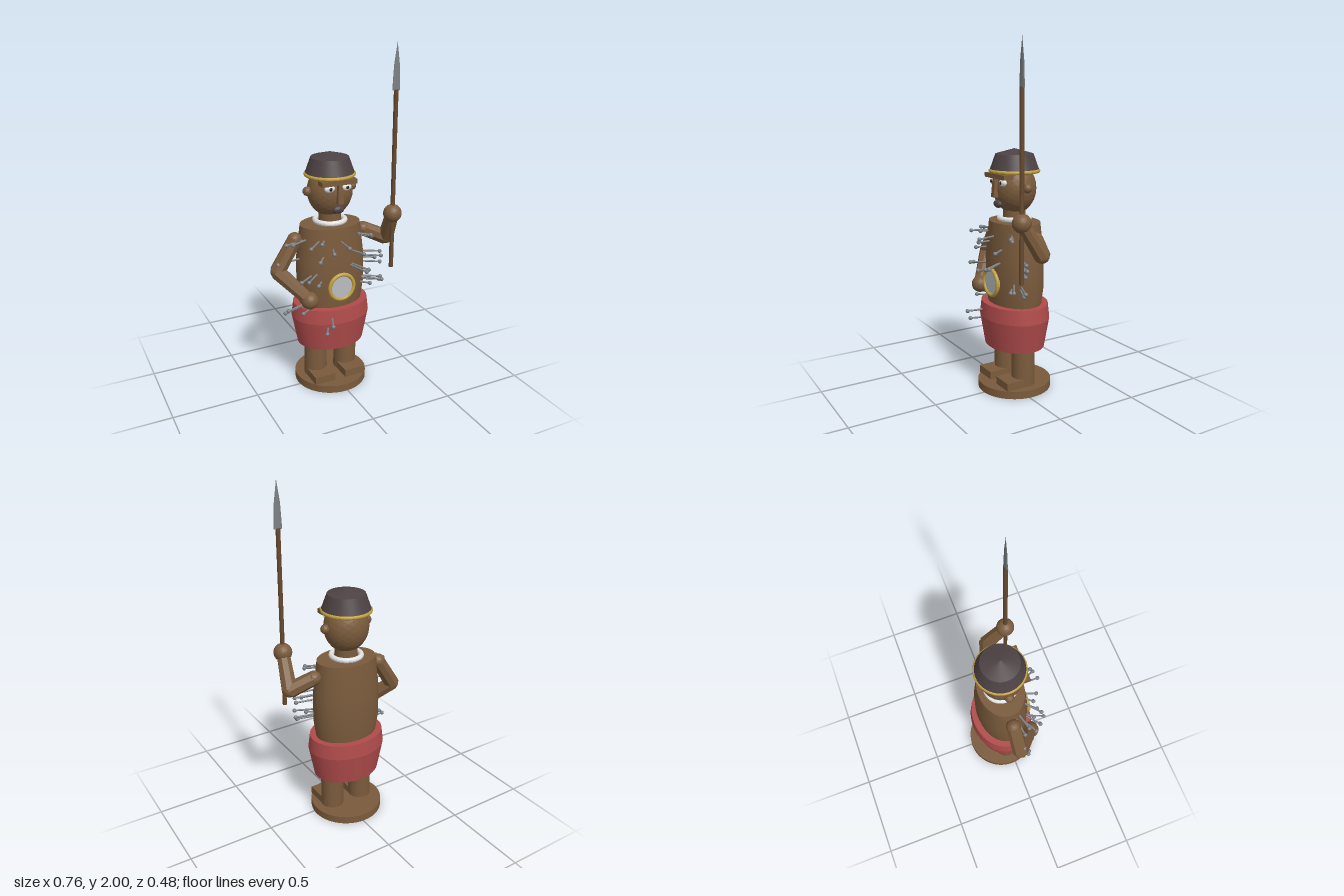
import * as THREE from 'three';
import { toCreasedNormals } from 'three/addons/utils/BufferGeometryUtils.js';

const CX = -0.013, CZ = -0.026; // axis of the figure

function mat(name, color) {
  const m = new THREE.MeshStandardMaterial({ color });
  m.name = name;
  return m;
}

export function createModel() {
  const root = new THREE.Group();
  const wood = mat('wood', 0x7a5b3c);
  const darkWood = mat('shaft wood', 0x66492e);
  const red = mat('red cloth', 0xb04b4b);
  const dark = mat('dark hat', 0x4d4243);
  const gold = mat('gold', 0xbf9f40);
  const white = mat('white', 0xdfe1e3);
  const glass = mat('mirror', 0xb9bcbf);
  const steel = mat('steel', 0x7c8083);
  const black = mat('black', 0x1c1a1a);

  function add(name, geo, material, pos, scale = [1, 1, 1], parent = root) {
    const mesh = new THREE.Mesh(toCreasedNormals(geo, 0.2), material);
    mesh.name = name;
    mesh.position.set(...pos);
    mesh.scale.set(...scale);
    parent.add(mesh);
    return mesh;
  }
  const lathe = (pts, seg = 48) =>
    new THREE.LatheGeometry(pts.map(p => new THREE.Vector2(...p)), seg);
  const ball = (r, d = 3) => new THREE.IcosahedronGeometry(r, d);

  // Straight rod between two points
  function rod(name, a, b, r1, r2, sides, material, parent = root) {
    const p = new THREE.Vector3(...a), q = new THREE.Vector3(...b);
    const m = add(name, new THREE.CylinderGeometry(r2, r1, p.distanceTo(q), sides),
      material, [0, 0, 0], [1, 1, 1], parent);
    m.position.copy(p).lerp(q, 0.5);
    m.quaternion.setFromUnitVectors(new THREE.Vector3(0, 1, 0), q.sub(p).normalize());
    return m;
  }

  // Base, legs and feet
  add('base', new THREE.CylinderGeometry(0.215, 0.215, 0.045, 48), wood, [CX, 0.0225, CZ]);
  for (const s of [-1, 1]) {
    const x = CX + s * 0.098;
    add('leg', new THREE.CylinderGeometry(0.068, 0.068, 0.32, 36), wood, [x, 0.205, CZ]);
    add('foot', new THREE.BoxGeometry(0.13, 0.045, 0.17), wood, [x, 0.0675, 0.033]);
  }

  // Skirt, torso and neck
  add('skirt', lathe([[0, 0.265], [0.203, 0.265], [0.237, 0.44], [0.226, 0.525], [0, 0.525]]),
    red, [CX, 0, CZ], [1, 1, 0.8]);
  add('torso', lathe([[0, 0.5], [0.187, 0.5], [0.205, 0.62], [0.205, 0.8], [0.18, 1], [0, 1]]),
    wood, [CX, 0, CZ], [1, 1, 0.74]);
  add('neck', new THREE.CylinderGeometry(0.065, 0.065, 0.13, 32), wood, [CX, 1.05, CZ]);
  add('neckRing', new THREE.TorusGeometry(0.086, 0.015, 12, 40).rotateX(Math.PI / 2),
    white, [CX, 1.016, CZ]);

  // Head and face
  add('head', ball(1, 4), wood, [CX, 1.19, CZ], [0.132, 0.148, 0.122]);
  add('brow', new THREE.BoxGeometry(0.213, 0.026, 0.06), wood, [CX, 1.262, 0.077]);
  add('nose', new THREE.CylinderGeometry(0.015, 0.025, 0.11, 4, 1, false, Math.PI / 4),
    wood, [CX, 1.2, 0.1]);
  add('mouth', ball(1), dark, [CX, 1.105, 0.083], [0.035, 0.023, 0.02]);
  for (const s of [-1, 1]) {
    add('ear', ball(0.027, 2), wood, [CX + s * 0.138, 1.2, CZ]);
    add('eye', ball(1), white, [CX + s * 0.051, 1.229, 0.08], [0.032, 0.021, 0.017]);
    add('pupil', ball(1, 2), black, [CX + s * 0.051, 1.229, 0.094], [0.01, 0.01, 0.007]);
  }

  // Hat with gold band
  add('hat', lathe([[0, 1.285], [0.143, 1.285], [0.108, 1.383], [0, 1.413]]), dark, [CX, 0, CZ]);
  add('hatBand', new THREE.TorusGeometry(0.136, 0.011, 12, 48).rotateX(Math.PI / 2),
    gold, [CX, 1.287, CZ]);

  // Round mirror on the belly
  add('mirrorDisc', new THREE.CylinderGeometry(0.075, 0.075, 0.03, 36).rotateX(Math.PI / 2),
    glass, [CX, 0.655, 0.118]);
  add('mirrorRim', new THREE.TorusGeometry(0.075, 0.011, 12, 40), gold, [CX, 0.655, 0.131]);

  // Arms: shoulder, elbow, hand
  const arms = [
    ['rightArm', [-0.232, 0.925, -0.03], [-0.342, 0.75, -0.028], [-0.2, 0.595, 0.1], 0.05],
    ['leftArm', [0.205, 0.925, -0.03], [0.335, 0.865, 0.015], [0.31, 1.05, 0.127], 0.053],
  ];
  for (const [name, shoulder, elbow, hand, r] of arms) {
    const g = new THREE.Group();
    g.name = name;
    root.add(g);
    add('shoulder', ball(0.043, 2), wood, shoulder, [1, 1, 1], g);
    rod('upperArm', shoulder, elbow, 0.043, 0.046, 8, wood, g);
    add('elbow', ball(0.04, 2), wood, elbow, [1, 1, 1], g);
    rod('forearm', elbow, hand, 0.046, 0.038, 8, wood, g);
    add('hand', ball(r, 3), wood, hand, [1, 1, 1], g);
  }

  // Spear
  add('spearShaft', new THREE.CylinderGeometry(0.013, 0.013, 1.03, 8), darkWood, [0.31, 1.235, 0.128]);
  add('spearHead', lathe([[0, 1.745], [0.025, 1.745], [0.018, 1.88], [0, 2]], 12),
    steel, [0.31, 0, 0.128], [1, 1, 0.25]);

  // Pins: outer head position, shaft running back toward the body axis
  const pins = [
    [-0.115, 0.47, 0.23], [-0.138, 0.415, 0.2], // skirt
    [-0.325, 0.515, 0.04], [-0.31, 0.53, 0.05], [-0.24, 0.52, 0.1], // hip
    [-0.3, 0.915, 0.015], [-0.275, 0.925, 0.05], [-0.345, 0.8, -0.003], // right shoulder
    [-0.253, 0.72, 0.112], [-0.225, 0.73, 0.15], [-0.21, 0.925, 0.15],
    [-0.155, 0.835, 0.15], [-0.16, 0.69, 0.135], [-0.135, 0.932, 0.13],
    [-0.08, 0.88, 0.172], [-0.005, 0.915, 0.208], // chest
    [0.095, 0.765, 0.225], [0.113, 0.77, 0.215], [0.105, 0.85, 0.17],
    [0.178, 0.935, 0.115], [0.185, 0.925, 0.11],
    [0.265, 0.805, 0.07], [0.275, 0.775, 0.07], [0.265, 0.74, 0.075], [0.235, 0.77, 0.065], // left side
    [0.27, 0.645, 0.075], [0.26, 0.63, 0.08], [0.245, 0.655, 0.135], [0.178, 0.635, 0.115],
  ];
  const pinGroup = new THREE.Group();
  pinGroup.name = 'pins';
  root.add(pinGroup);
  for (const [x, y, z] of pins) {
    const dx = CX - x, dz = CZ - z, k = 0.14 / Math.hypot(dx, dz);
    rod('pinShaft', [x + dx * k, y + 0.012, z + dz * k], [x, y, z], 0.0055, 0.0055, 8, steel, pinGroup);
    add('pinHead', ball(0.012, 2), steel, [x, y, z], [1, 1, 1], pinGroup);
  }
  return root;
}
